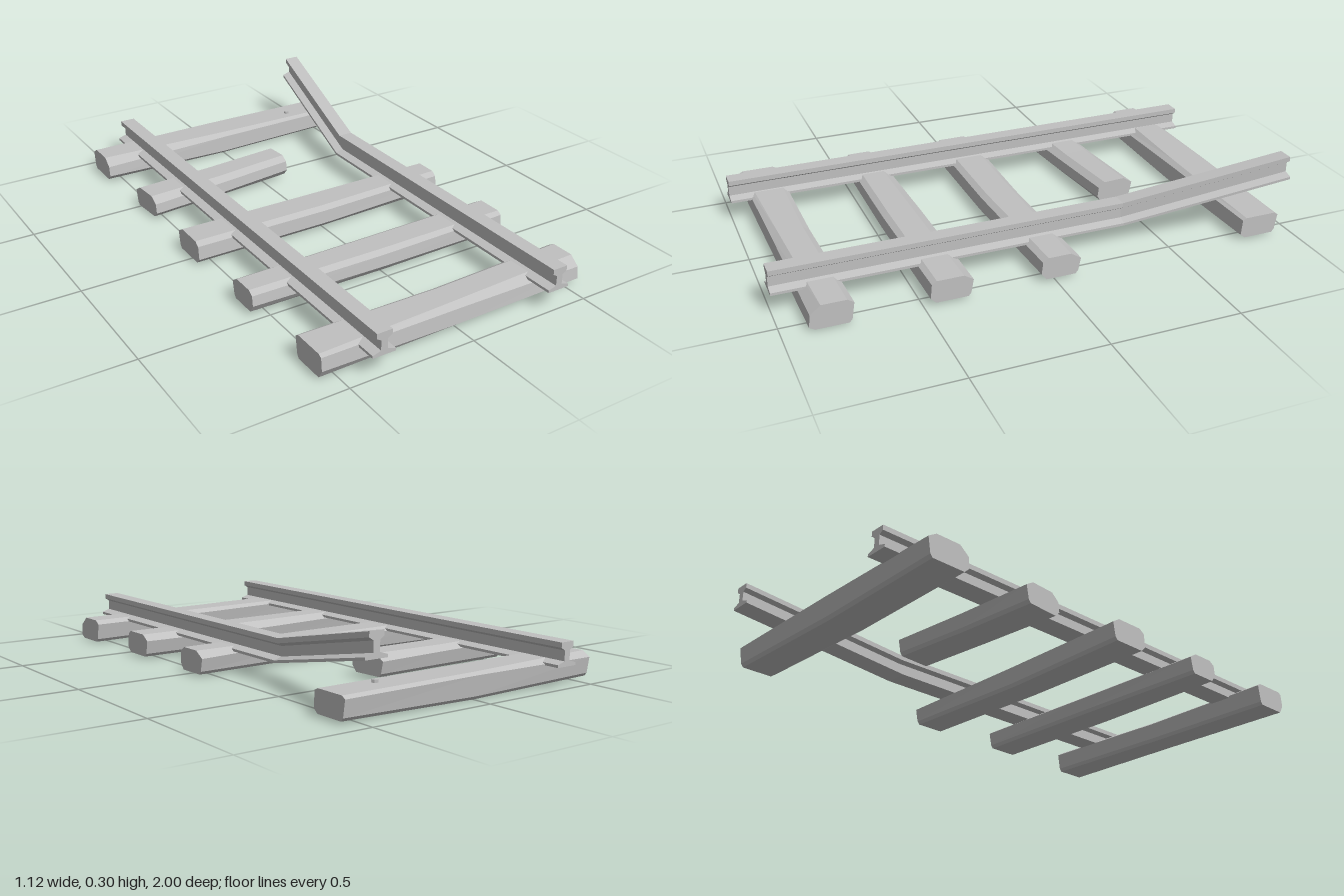
import * as THREE from 'three';

const steel = new THREE.MeshStandardMaterial({ color: 0xc0c0c0 });
steel.name = 'pale grey';

// I-shaped rail profile, mirrored about its centre line
function railShape() {
  const half = [[0.045, 0.08], [0.045, 0.09], [0.013, 0.1], [0.013, 0.138], [0.03, 0.149], [0.03, 0.168]];
  const left = half.map(([x, y]) => [-x, y]).reverse();
  return new THREE.Shape([...half, ...left].map(([x, y]) => new THREE.Vector2(x, y)));
}

// Rail along z; an optional bend shifts the back end sideways and up
function makeRail(name, x, bendX = 0, bendY = 0) {
  const geo = new THREE.ExtrudeGeometry(railShape(), { depth: 2, steps: 2, bevelEnabled: false });
  geo.translate(x, 0, -1);
  const p = geo.attributes.position;
  for (let i = 0; i < p.count; i++) {
    const z = p.getZ(i);
    if (Math.abs(z) < 0.01) p.setZ(i, -0.35);
    if (z < -0.9) p.setXYZ(i, p.getX(i) + bendX, p.getY(i) + bendY, z);
  }
  geo.computeVertexNormals();
  const mesh = new THREE.Mesh(geo, steel);
  mesh.name = name;
  return mesh;
}

// Worn sleeper lofted through sections [x, zBack, zFront, yBottom, yTop, backChamfer, frontChamfer, lowerChamfer]
function makeSleeper(name, sections) {
  const loops = sections.map(([x, a, b, lo, hi, ca, cb, d]) => [
    [a + 0.01, lo + 0.012], [a, hi - ca], [a + ca * 1.6, hi], [b - 0.012 - cb, hi],
    [b - 0.005, hi - cb], [b, lo + d], [b - 0.02, lo], [a + 0.02, lo],
  ].map(([z, y]) => [x, y, z]));
  const pos = [];
  const tri = (...v) => v.forEach((q) => pos.push(...q));
  const n = 8;
  for (let s = 0; s < loops.length - 1; s++) {
    const A = loops[s], B = loops[s + 1];
    for (let i = 0; i < n; i++) {
      const j = (i + 1) % n;
      tri(A[i], A[j], B[i]);
      tri(A[j], B[j], B[i]);
    }
  }
  const first = loops[0], last = loops[loops.length - 1];
  for (let i = 1; i < n - 1; i++) {
    tri(first[0], first[i + 1], first[i]);
    tri(last[0], last[i], last[i + 1]);
  }
  const geo = new THREE.BufferGeometry();
  geo.setAttribute('position', new THREE.Float32BufferAttribute(pos, 3));
  geo.computeVertexNormals();
  const mesh = new THREE.Mesh(geo, steel);
  mesh.name = name;
  return mesh;
}

export function createModel() {
  const track = new THREE.Group();
  track.name = 'brokenTrack';

  track.add(makeRail('straightRail', -0.37));
  track.add(makeRail('bentRail', 0.37, 0.117, 0.13));

  // Full-width sleepers, front to back
  track.add(makeSleeper('frontSleeper', [
    [-0.56, 0.77, 0.93, 0.01, 0.1, 0.01, 0.008, 0.032],
    [0, 0.765, 0.915, 0.008, 0.096, 0.015, 0.018, 0.012],
    [0.56, 0.745, 0.905, 0.005, 0.096, 0.015, 0.032, 0.012],
  ]));
  track.add(makeSleeper('secondSleeper', [
    [-0.56, 0.34, 0.485, 0.015, 0.099, 0.02, 0.015, 0.03],
    [0, 0.32, 0.485, 0.01, 0.096, 0.025, 0.015, 0.025],
    [0.56, 0.315, 0.475, 0.01, 0.096, 0.022, 0.012, 0.02],
  ]));
  track.add(makeSleeper('middleSleeper', [
    [-0.56, -0.095, 0.075, 0.01, 0.098, 0.02, 0.015, 0.02],
    [0, -0.08, 0.075, 0.01, 0.096, 0.012, 0.015, 0.02],
    [0.56, -0.1, 0.055, 0.01, 0.096, 0.025, 0.015, 0.025],
  ]));
  track.add(makeSleeper('backSleeper', [
    [-0.56, -0.94, -0.77, 0.01, 0.102, 0.02, 0.03, 0.02],
    [0, -0.94, -0.775, 0, 0.096, 0.01, 0.015, 0.015],
    [0.56, -0.94, -0.78, 0.01, 0.093, 0.01, 0.008, 0.015],
  ]));

  // Snapped sleeper, knocked slightly askew
  const broken = makeSleeper('brokenSleeper', [
    [-0.32, -0.083, 0.083, 0.012, 0.096, 0.02, 0.025, 0.02],
    [0, -0.078, 0.082, 0.015, 0.097, 0.02, 0.02, 0.02],
    [0.32, -0.08, 0.08, 0.02, 0.104, 0.025, 0.02, 0.025],
  ]);
  broken.position.set(-0.225, 0, -0.452);
  broken.rotation.y = 0.075;
  track.add(broken);

  // Loose spike left where the rail pulled away
  const spike = new THREE.Mesh(new THREE.CylinderGeometry(0.011, 0.011, 0.025, 8).toNonIndexed(), steel);
  spike.geometry.computeVertexNormals();
  spike.name = 'looseSpike';
  spike.position.set(0.365, 0.092, -0.845);
  track.add(spike);

  return track;
}
